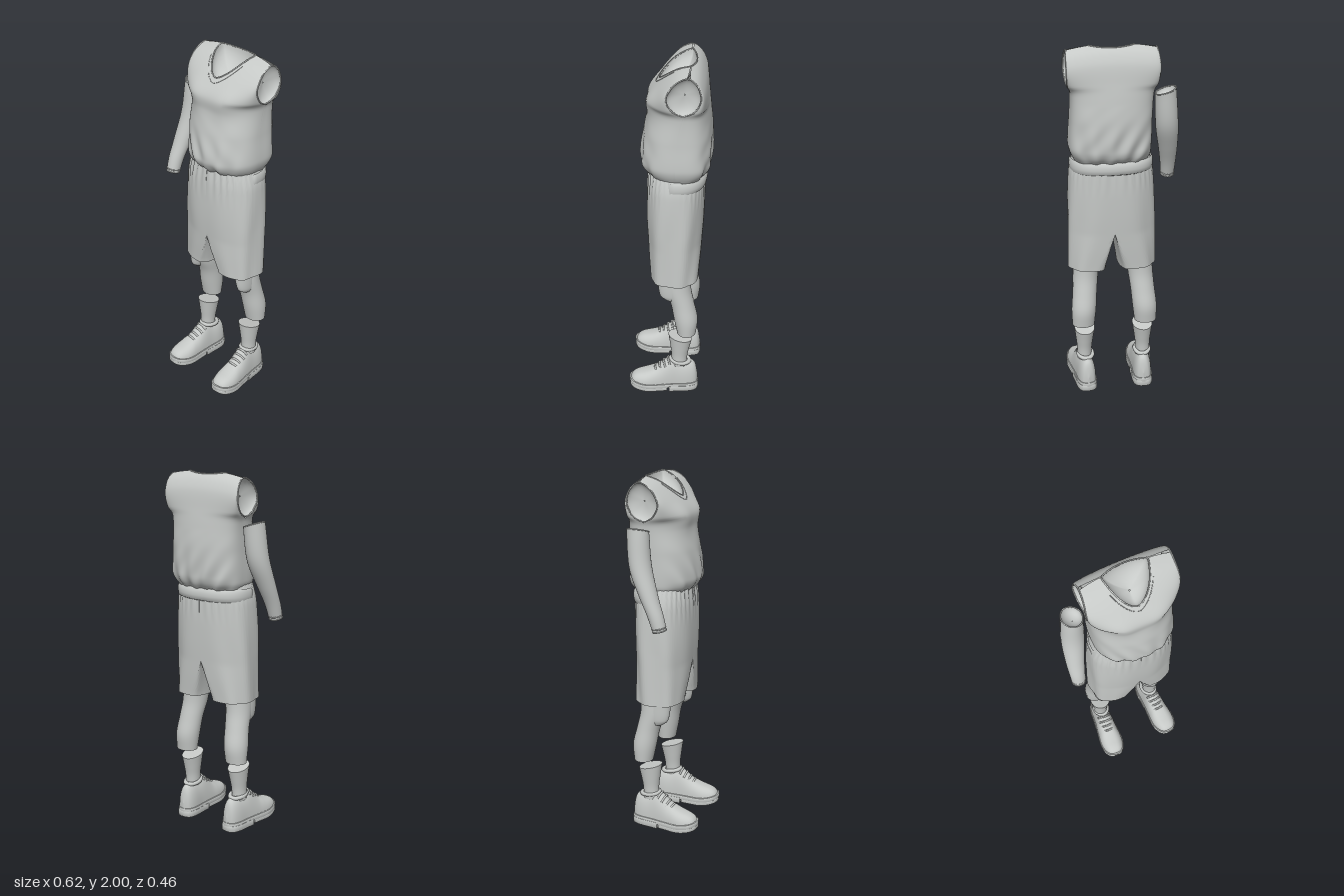
import * as THREE from 'three';
import { toCreasedNormals } from 'three/addons/utils/BufferGeometryUtils.js';

const MID = 0.062; // x of the body's centre line
const grey = new THREE.MeshStandardMaterial({ color: 0xc6c9c7, side: THREE.DoubleSide });
grey.name = 'clay grey';

const V = (x, y, z) => new THREE.Vector3(x, y, z);
const spow = (v, p) => Math.sign(v) * Math.abs(v) ** p;
const clamp01 = (v) => Math.min(1, Math.max(0, v));

// Smooth lookup in a table of [position, value] pairs in rising order
function at(t, x) {
  const n = t.length - 1;
  x = Math.min(t[n][0], Math.max(t[0][0], x));
  let i = 0;
  while (i < n - 1 && x > t[i + 1][0]) i++;
  const slope = (k) => {
    const a = t[Math.max(0, k - 1)], b = t[Math.min(n, k + 1)];
    return (b[1] - a[1]) / (b[0] - a[0]);
  };
  const h = t[i + 1][0] - t[i][0], u = (x - t[i][0]) / h, u2 = u * u, u3 = u2 * u;
  return (2 * u3 - 3 * u2 + 1) * t[i][1] + (u3 - 2 * u2 + u) * h * slope(i)
    + (3 * u2 - 2 * u3) * t[i + 1][1] + (u3 - u2) * h * slope(i + 1);
}

// Surface through a list of rings (or open rows of points)
function loft(rings, { closed = true, caps = [] } = {}) {
  const n = rings[0].length, pos = [], idx = [];
  rings.forEach((r) => r.forEach((p) => pos.push(p.x, p.y, p.z)));
  for (let j = 0; j < rings.length - 1; j++) {
    for (let i = 0; i < (closed ? n : n - 1); i++) {
      const a = j * n + i, b = j * n + (i + 1) % n;
      idx.push(a, a + n, b, b, a + n, b + n);
    }
  }
  for (const end of caps) {
    const ring = end ? rings[rings.length - 1] : rings[0];
    const c = ring.reduce((s, p) => s.add(p), V(0, 0, 0)).divideScalar(n), base = pos.length / 3;
    [c, ...ring].forEach((p) => pos.push(p.x, p.y, p.z));
    for (let i = 0; i < n; i++) {
      const a = base + 1 + i, b = base + 1 + (i + 1) % n;
      idx.push(base, end ? b : a, end ? a : b);
    }
  }
  const g = new THREE.BufferGeometry();
  g.setAttribute('position', new THREE.Float32BufferAttribute(pos, 3));
  g.setIndex(idx);
  g.computeVertexNormals();
  return g;
}

const circle = (n, fn) => Array.from({ length: n }, (_, i) => fn(i / n * Math.PI * 2));
const steps = (n, a, b) => Array.from({ length: n + 1 }, (_, i) => a + (b - a) * i / n);

function add(parent, name, geometry) {
  const m = new THREE.Mesh(geometry, grey);
  m.name = name;
  parent.add(m);
  return m;
}
const cord = (pts, r, closed = false) =>
  new THREE.TubeGeometry(new THREE.CatmullRomCurve3(pts, closed), pts.length * 3, r, 6, closed);

// Hollow that closes an opening, sinking from its rim along a vector
function bowl(rim, sink) {
  const c = rim.reduce((s, p) => s.add(p), V(0, 0, 0)).divideScalar(rim.length);
  return loft(steps(8, 0, 0.98).map((k) => rim.map((p) =>
    p.clone().lerp(c, 1 - Math.cos(k * Math.PI / 2)).addScaledVector(sink, Math.sin(k * Math.PI / 2)))));
}

// Vertical limb from tables of centre and radius; tilt slants the two ends
function limb({ y0, y1, cx, cz, rx, rz, tilt = () => 0, caps = [0, 1] }) {
  return loft(steps(20, y0, y1).map((y) => circle(28, (a) => {
    const dx = at(rx, y) * Math.cos(a), dz = at(rz, y) * Math.sin(a);
    return V(at(cx, y) + dx, y + tilt(y, dx, dz), at(cz, y) + dz);
  })), { caps });
}

// ---- Shirt ----
const shirtX = [
  [[1.38, -0.13], [1.42, -0.145], [1.6, -0.15], [1.75, -0.157], [1.8, -0.172], [1.9, -0.178], [2, -0.17]],
  [[1.38, 0.265], [1.42, 0.285], [1.46, 0.293], [1.6, 0.285], [1.75, 0.283], [1.8, 0.3], [1.9, 0.307], [2, 0.303]],
];
const frontZ = [[1.38, 0.11], [1.41, 0.138], [1.45, 0.153], [1.6, 0.138], [1.72, 0.116], [1.8, 0.112],
  [1.88, 0.057], [1.94, 0], [1.98, -0.055], [2, -0.11]];
const backZ = [[1.38, -0.185], [1.41, -0.208], [1.45, -0.22], [1.6, -0.225], [1.72, -0.215], [1.8, -0.205],
  [1.9, -0.19], [1.95, -0.168], [1.98, -0.143], [2, -0.11]];
const holeFront = [[1.38, -0.04], [1.6, -0.045], [1.77, -0.08], [1.8, -0.03], [1.87, 0.005], [1.94, -0.02], [1.98, -0.06], [2, -0.105]];
const holeBack = [[1.38, -0.04], [1.6, -0.045], [1.77, -0.08], [1.8, -0.13], [1.87, -0.165], [1.94, -0.155], [1.98, -0.13], [2, -0.105]];

// Point on the shirt: s runs across (-1..1), t from hem to neck or shoulder
function shirtPoint(s, t, front) {
  const shoulder = 2 - 0.025 * s * s, d = Math.min(1, Math.abs(s) * 2);
  const top = d < 1 ? (front ? 1.885 + 0.109 * d ** 1.7 : 1.985 + 0.009 * d * d) : shoulder;
  const y = 1.38 + (top - 1.38) * t;
  const yy = y + (2 - shoulder) * clamp01((y - 1.38) / 0.62) ** 4;
  const xr = at(shirtX[0], yy), xl = at(shirtX[1], yy);
  const x = (xr + xl) / 2 + s * (xl - xr) / 2;
  const round = Math.max(0, 1 - s * s) ** (front ? 0.42 : 0.25);
  const edge = at(front ? holeFront : holeBack, yy);
  let z = edge + (at(front ? frontZ : backZ, yy) - edge) * round;
  const low = clamp01((1.7 - y) / 0.25), dir = front ? 1 : -1;
  z += dir * round * low * (0.005 * Math.sin(34 * s * (1.9 - y) + 9 * y) + 0.003 * Math.sin(11 * s + 42 * y));
  if (front) { // chest
    for (const c of [-0.46, 0.46]) z += 0.014 * Math.exp(-(((s - c) / 0.3) ** 2) - ((y - 1.78) / 0.075) ** 2);
  }
  return V(x, y, z);
}

function buildShirt(root) {
  const g = new THREE.Group();
  g.name = 'shirt';
  root.add(g);
  for (const front of [true, false]) {
    const dir = front ? 1 : -1;
    const cols = steps(56, Math.PI / 2, -Math.PI / 2).map((a) => Math.sin(a) * dir);
    const rows = steps(60, 0, 1).map((t) => cols.map((s) => shirtPoint(s, t, front)));
    add(g, front ? 'shirtFront' : 'shirtBack', loft(rows, { closed: false }));
  }
  // Collar and arm holes with their hollows
  const neck = [...steps(20, -0.5, 0.5).map((s) => shirtPoint(s, 1, true)),
    ...steps(12, 0.45, -0.45).map((s) => shirtPoint(s, 1, false))];
  add(g, 'collarEdge', cord(neck, 0.004, true));
  add(g, 'collarInside', bowl(neck, V(0, -0.09, 0)));
  add(g, 'collarStitch', cord(steps(16, -0.47, 0.47).map((s) => shirtPoint(s, 0.955, true)), 0.002));
  for (const s of [-1, 1]) {
    const pts = [...steps(14, 0.66, 1).map((t) => shirtPoint(s, t, true)),
      ...steps(13, 0.99, 0.68).map((t) => shirtPoint(s, t, false))];
    add(g, 'armholeEdge', cord(pts, 0.004, true));
    add(g, 'armholeInside', bowl(pts, V(-s * 0.045, 0, 0)));
  }
}

// ---- Shorts ----
const shortsHalf = [[0.76, 0.243], [1.1, 0.24], [1.3, 0.23], [1.36, 0.218], [1.41, 0.2]];
const shortsFront = [[0.76, 0.1], [0.9, 0.113], [1.1, 0.124], [1.3, 0.12], [1.41, 0.108]];
const shortsBack = [[0.76, -0.163], [0.9, -0.175], [1.1, -0.186], [1.3, -0.188], [1.41, -0.18]];

// One half: flat along the centre line above, parting into a leg below
function buildShorts() {
  const rings = steps(36, 0.755, 1.41).map((y) => circle(160, (a) => {
    const c = Math.cos(a), s = Math.sin(a), hw = at(shortsHalf, y);
    const zf = at(shortsFront, y), zb = at(shortsBack, y);
    const pleat = 0.005 * clamp01((y - 1.2) / 0.18) * Math.sin(34 * a) * Math.abs(s)
      + 0.005 * clamp01((1.35 - y) / 0.3) * Math.sin(7 * a + 4 * y) * Math.abs(c);
    const open = clamp01((0.97 - y) / 0.21);
    const inner = 0.034 * open ** 0.8, split = hw * 0.4 * open;
    const x = c > 0 ? split + (hw - split) * spow(c, 0.8) : split + (split - inner) * spow(c, 0.15 + 0.55 * open);
    return V(x + pleat * Math.max(0, c), y, (zf + zb) / 2 + ((zf - zb) / 2 + pleat) * spow(s, 0.85));
  }));
  return toCreasedNormals(loft(rings), 1);
}

// Band that stands proud at the back and sinks under the front pleats
const waistband = () => loft([[1.315, 0], [1.322, 0.012], [1.345, 0.016], [1.372, 0.014], [1.385, 0]].map(([y, out]) =>
  circle(64, (a) => {
    const s = Math.sin(a), o = s < 0.15 ? out : -0.012;
    return V(MID + (0.217 + o * 0.6) * spow(Math.cos(a), 0.8), y, -0.035 + (0.15 + o) * spow(s, 0.85));
  })));

// ---- Shoe: built pointing to +z around its own centre line ----
const shoeHalf = [[-0.17, 0.004], [-0.16, 0.032], [-0.12, 0.05], [-0.04, 0.054], [0.05, 0.062], [0.13, 0.068], [0.185, 0.056], [0.212, 0.036], [0.225, 0.004]];
const shoeTop = [[-0.17, 0.09], [-0.155, 0.165], [-0.12, 0.195], [-0.07, 0.2], [-0.02, 0.215], [0.01, 0.2], [0.055, 0.162], [0.1, 0.135], [0.14, 0.12], [0.185, 0.106], [0.212, 0.085], [0.225, 0.05]];
const lengthwise = (n, a, b) => steps(n, 0, Math.PI).map((k) => (a + b) / 2 + (a - b) / 2 * Math.cos(k));

// Sole layer with an upturned toe
function slab(z0, z1, y0, y1, grow) {
  const zs = lengthwise(24, z0, z1);
  const pts = [...zs.map((z) => [at(shoeHalf, z) + grow, z]), ...zs.reverse().map((z) => [-at(shoeHalf, z) - grow, z])];
  const shape = new THREE.Shape(pts.map(([x, z]) => new THREE.Vector2(x, -z)));
  const b = 0.004;
  const g = new THREE.ExtrudeGeometry(shape, { depth: y1 - y0 - 2 * b, bevelSize: b, bevelThickness: b, bevelSegments: 2 });
  g.rotateX(-Math.PI / 2).translate(0, y0 + b, 0);
  const p = g.attributes.position;
  for (let i = 0; i < p.count; i++) p.setY(i, p.getY(i) + 1.2 * Math.max(0, p.getZ(i) - 0.09) ** 2);
  g.computeVertexNormals();
  return toCreasedNormals(g, 0.7);
}

function buildShoe() {
  const g = new THREE.Group();
  g.name = 'shoe';
  const upper = lengthwise(40, 0.225, -0.17).map((z) => circle(32, (a) => {
    const s = Math.sin(a), h = at(shoeTop, z) - 0.045;
    return V(at(shoeHalf, z) * spow(Math.cos(a), z < 0.08 ? 0.9 : 0.75), 0.045 + (s > 0 ? h * spow(s, 0.85) : 0), z);
  }));
  add(g, 'shoeUpper', loft(upper, { caps: [0, 1] }));
  add(g, 'midsole', slab(-0.168, 0.223, 0.028, 0.056, 0.001));
  add(g, 'heelSole', slab(-0.168, -0.005, 0.002, 0.04, 0.003));
  add(g, 'foreSole', slab(0.012, 0.22, 0.008, 0.036, 0));
  const collar = add(g, 'shoeCollar', new THREE.TorusGeometry(0.045, 0.012, 8, 28));
  collar.rotation.x = Math.PI / 2 - 0.15;
  collar.scale.set(0.92, 1.15, 1);
  collar.position.set(0, 0.197, -0.068);
  for (const z of [0.0, 0.025, 0.05, 0.075]) { // laces
    const y = at(shoeTop, z), w = 0.038;
    add(g, 'lace', cord([V(-w, y - 0.024, z - 0.008), V(-w / 2, y - 0.004, z), V(0, y + 0.002, z + 0.004), V(w / 2, y - 0.004, z), V(w, y - 0.024, z - 0.008)], 0.006));
  }
  return g;
}

// ---- Leg, drawn for the left side and mirrored for the right ----
function buildLeg(side) {
  const g = new THREE.Group();
  g.name = side > 0 ? 'leftLeg' : 'rightLeg';
  g.position.x = MID;
  g.scale.x = side;
  add(g, 'shortsLeg', buildShorts());
  const lower = new THREE.Group();
  lower.name = 'lowerLeg';
  lower.position.x = side > 0 ? 0 : 0.015; // the right foot stands further out
  g.add(lower);
  add(lower, 'calf', limb({
    y0: 0.408, y1: 0.86,
    cx: [[0.408, 0.17], [0.5, 0.166], [0.6, 0.157], [0.7, 0.148], [0.86, 0.135]],
    rx: [[0.408, 0.062], [0.5, 0.069], [0.6, 0.068], [0.7, 0.071], [0.86, 0.075]],
    cz: [[0.408, -0.103], [0.5, -0.098], [0.6, -0.078], [0.7, -0.05], [0.86, -0.04]],
    rz: [[0.408, 0.053], [0.5, 0.067], [0.6, 0.066], [0.7, 0.075], [0.86, 0.085]],
  }));
  add(lower, 'kneePad', limb({
    y0: 0.635, y1: 0.82,
    cx: [[0.635, 0.18], [0.82, 0.165]], rx: [[0.635, 0.022], [0.66, 0.034], [0.75, 0.045], [0.82, 0.05]],
    cz: [[0.635, -0.02], [0.82, -0.005]], rz: [[0.635, 0.035], [0.66, 0.062], [0.75, 0.069], [0.82, 0.07]],
  }));
  add(lower, 'sock', limb({
    y0: 0.17, y1: 0.368,
    cx: [[0.17, 0.163], [0.368, 0.16]], rx: [[0.17, 0.04], [0.24, 0.042], [0.3, 0.049], [0.368, 0.058]],
    cz: [[0.17, -0.062], [0.368, -0.067]], rz: [[0.17, 0.044], [0.24, 0.046], [0.3, 0.055], [0.368, 0.067]],
    tilt: (y, dx, dz) => 0.25 * dz * clamp01((y - 0.2) / 0.16),
  }));
  const shoe = buildShoe();
  shoe.position.x = 0.163;
  shoe.rotation.y = 0.07;
  lower.add(shoe);
  return g;
}

// ---- Right arm, apart from the shirt ----
function buildArm(root) {
  const cx = [[1.22, -0.27], [1.3, -0.267], [1.4, -0.257], [1.55, -0.238], [1.74, -0.224]];
  const cz = [[1.22, 0.055], [1.3, 0.03], [1.4, -0.012], [1.55, -0.065], [1.74, -0.085]];
  const tilt = (y, dx, dz) => -0.33 * dx * clamp01((y - 1.6) / 0.14) + 0.25 * dz * clamp01((1.35 - y) / 0.13);
  const rx = [[1.22, 0.037], [1.3, 0.043], [1.4, 0.052], [1.52, 0.061], [1.64, 0.06], [1.74, 0.056]];
  const rz = [[1.22, 0.036], [1.3, 0.042], [1.4, 0.05], [1.52, 0.059], [1.64, 0.06], [1.74, 0.059]];
  const g = new THREE.Group();
  g.name = 'rightArm';
  root.add(g);
  const ring = (y) => circle(24, (a) => {
    const dx = (at(rx, y) - 0.002) * Math.cos(a), dz = (at(rz, y) - 0.002) * Math.sin(a);
    return V(at(cx, y) + dx, y + tilt(y, dx, dz), at(cz, y) + dz);
  });
  add(g, 'armTube', limb({ y0: 1.222, y1: 1.738, cx, cz, rx, rz, tilt, caps: [0] }));
  add(g, 'armInside', bowl(ring(1.738), V(0, -0.05, 0)));
  for (const y of [1.225, 1.24]) add(g, 'wristCuff', cord(ring(y), 0.004, true));
  add(g, 'upperArmEdge', cord(ring(1.738), 0.004, true));
}

export function createModel() {
  const root = new THREE.Group();
  root.name = 'sportsOutfit';
  buildShirt(root);
  add(root, 'waistband', waistband());
  for (const side of [1, -1]) root.add(buildLeg(side));
  buildArm(root);
  return root;
}
